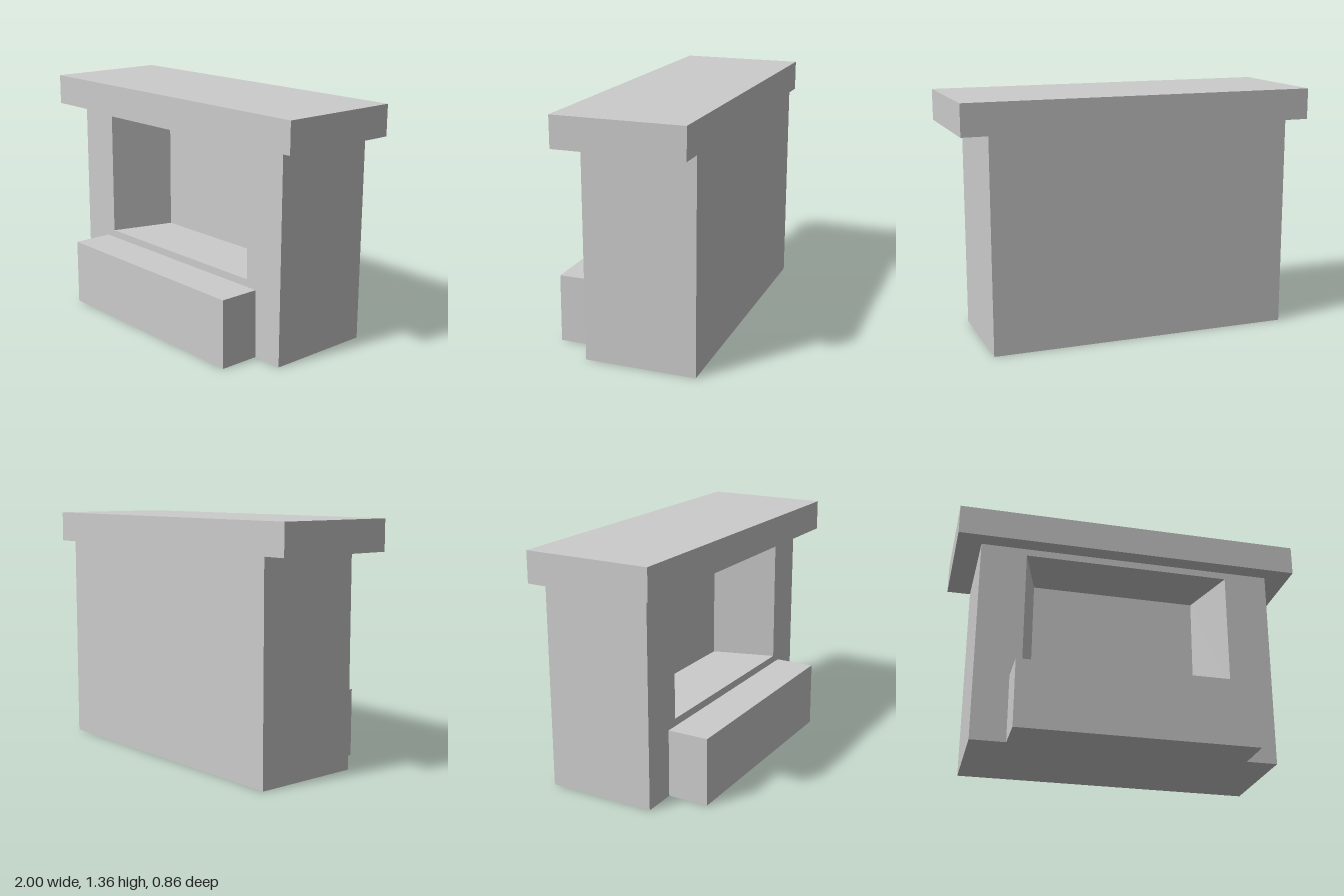
import * as THREE from 'three';

const grey = new THREE.MeshStandardMaterial({ color: 0xcccccc, flatShading: true });

// Four corners at depth z, counter-clockwise from the front; x1Top lets the right edge lean
const ring = (x0, x1, y0, y1, z, x1Top = x1) => [[x0, y0, z], [x1, y0, z], [x1Top, y1, z], [x0, y1, z]];

// Skin four-sided rings in order and close the first and last one
function loft(name, rings) {
  const pos = [];
  const quad = (a, b, c, d) => [a, b, c, a, c, d].forEach((p) => pos.push(...p));
  for (let r = 0; r < rings.length - 1; r++) {
    for (let i = 0; i < 4; i++) {
      const j = (i + 1) % 4;
      quad(rings[r][i], rings[r][j], rings[r + 1][j], rings[r + 1][i]);
    }
  }
  quad(...[...rings[0]].reverse());
  quad(...rings[rings.length - 1]);
  const geometry = new THREE.BufferGeometry();
  geometry.setAttribute('position', new THREE.Float32BufferAttribute(pos, 3));
  geometry.computeVertexNormals();
  const mesh = new THREE.Mesh(geometry, grey);
  mesh.name = name;
  return mesh;
}

export function createModel() {
  const group = new THREE.Group();
  group.name = 'fireplace';
  const back = -0.43, face = 0.195;

  // Body with a firebox whose side walls narrow toward the back
  group.add(loft('fireplaceBody', [
    ring(-0.86, 0.857, 0, 1.186, back),
    ring(-0.86, 0.857, 0, 1.186, face),
    ring(-0.597, 0.605, 0.427, 1.145, face, 0.601),
    ring(-0.495, 0.5, 0.427, 1.145, -0.175),
  ]));

  // Mantel shelf, flush with the body at the back
  group.add(loft('mantelShelf', [
    ring(-1, 1, 1.186, 1.36, back),
    ring(-1, 1, 1.186, 1.36, 0.293),
  ]));

  // Raised hearth with a slightly leaning right side
  group.add(loft('hearth', [
    ring(-0.663, 0.679, 0, 0.384, face, 0.674),
    ring(-0.663, 0.679, 0, 0.384, 0.43, 0.674),
  ]));
  return group;
}
